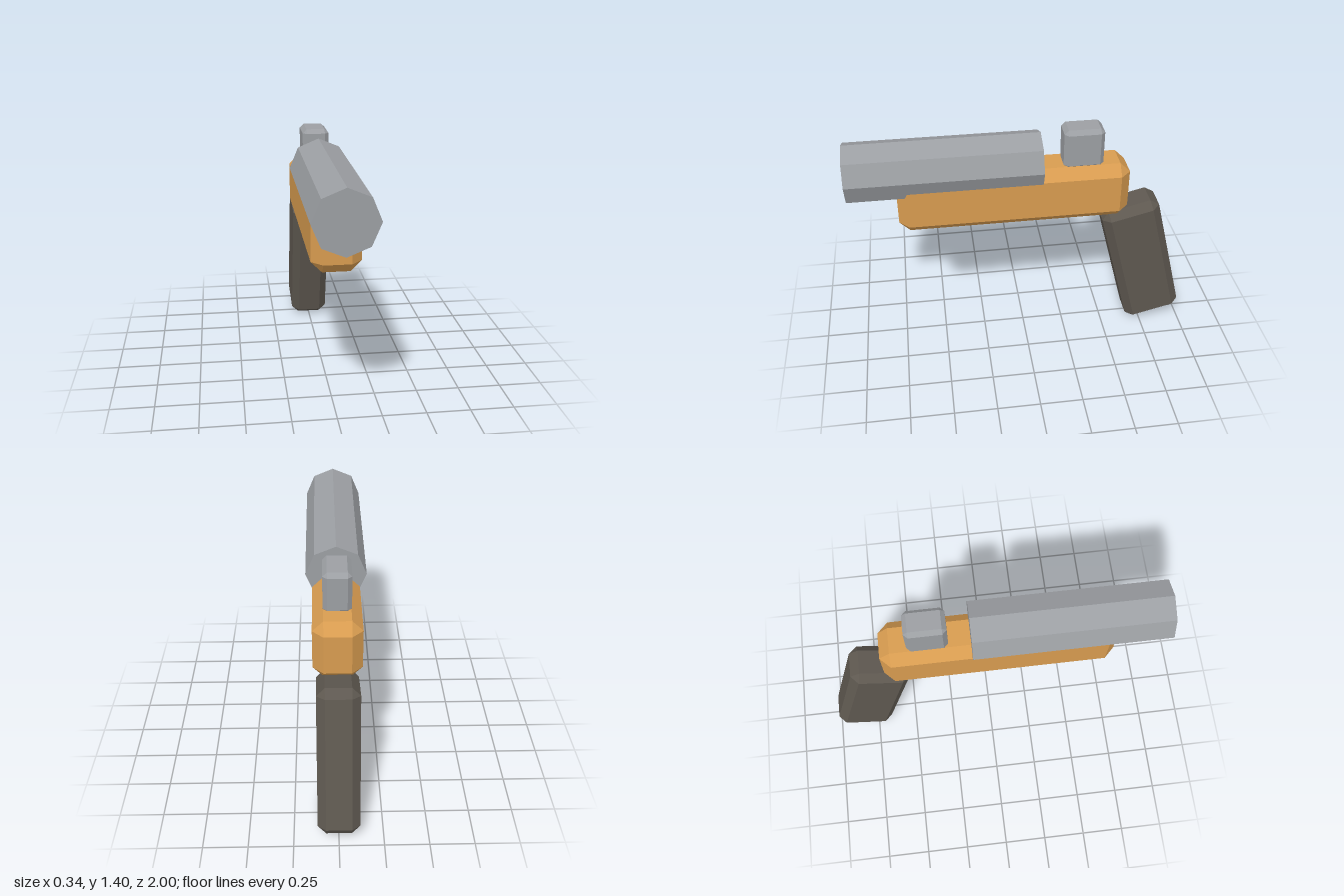
import * as THREE from 'three';
import { ConvexGeometry } from 'three/addons/geometries/ConvexGeometry.js';

const material = (color) => new THREE.MeshStandardMaterial({ color, flatShading: true });

// Box with every edge bevelled by c and a triangle at each corner
function chamferBox(w, h, d, c) {
  const points = [];
  for (const sx of [-1, 1]) for (const sy of [-1, 1]) for (const sz of [-1, 1]) {
    const x = w / 2, y = h / 2, z = d / 2;
    points.push(
      new THREE.Vector3(sx * x, sy * (y - c), sz * (z - c)),
      new THREE.Vector3(sx * (x - c), sy * y, sz * (z - c)),
      new THREE.Vector3(sx * (x - c), sy * (y - c), sz * z),
    );
  }
  return new ConvexGeometry(points);
}

export function createModel() {
  const model = new THREE.Group();
  const steel = material(0x9c9fa3);

  function add(name, geometry, mat, y, z, tilt = 0) {
    const mesh = new THREE.Mesh(geometry, mat);
    mesh.name = name;
    mesh.position.set(0, y, z);
    mesh.rotation.x = tilt;
    model.add(mesh);
  }

  // Octagonal barrel lying along z, corners on the axes
  const barrel = new THREE.CylinderGeometry(0.172, 0.172, 1.1, 8).rotateX(Math.PI / 2);
  add('barrel', barrel, steel, 1.202, 0.45);

  // Long body under the barrel
  add('body', chamferBox(0.27, 0.35, 1.335, 0.06), material(0xd89c50), 1.005, 0.057);

  // Small block on top, sunk slightly into the body
  add('rearSight', chamferBox(0.156, 0.24, 0.23, 0.024), steel, 1.28, -0.34);

  // Grip leaning backwards
  add('grip', chamferBox(0.234, 0.866, 0.35, 0.046), material(0x5e5850), 0.453, -0.735, 0.25);

  return model;
}
